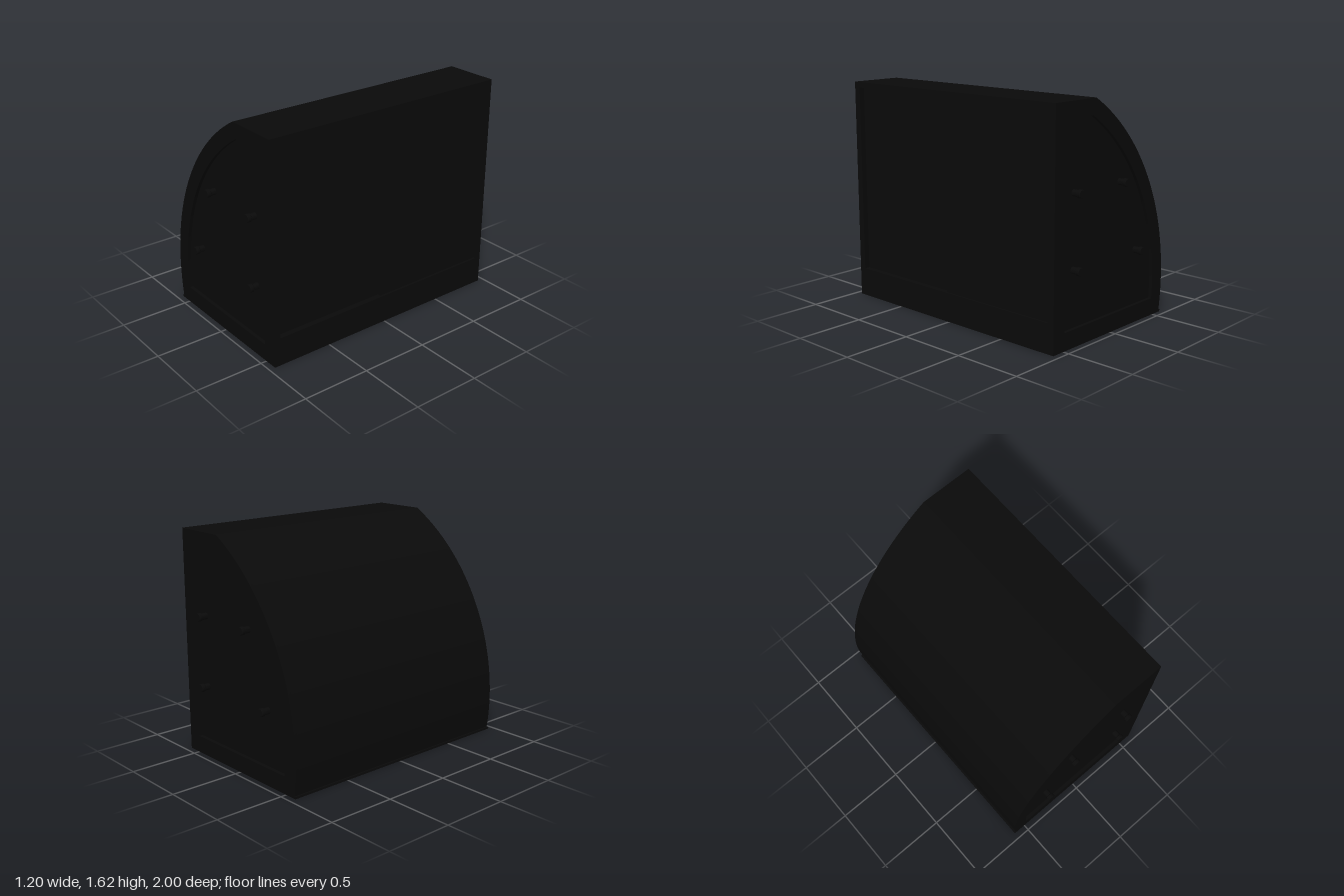
import * as THREE from 'three';
import { toCreasedNormals } from 'three/addons/utils/BufferGeometryUtils.js';

const BASE = 0.015, TOP = 1.62, FLAT = 0.6, END = 0.955, CORE = 0.93;
const CX = 0.973, CY = 0.25, R = 1.573; // circle of the curved wall

// Quarter-round outline: flat side at x = right, flat top, curved wall of given radius
function outline(path, right, bottom, top, radius) {
  const a0 = Math.PI + Math.asin((CY - bottom) / radius);
  const a1 = Math.PI - Math.asin((top - CY) / radius);
  const n = 40;
  path.moveTo(right, bottom);
  path.lineTo(right, top);
  for (let i = 0; i <= n; i++) {
    const a = a1 + (a0 - a1) * i / n;
    path.lineTo(CX + radius * Math.cos(a), CY + radius * Math.sin(a));
  }
  path.closePath();
  return path;
}

export function createModel() {
  const group = new THREE.Group();
  const black = new THREE.MeshStandardMaterial({ color: 0x0a0a0a });

  function add(name, geometry, x = 0, y = 0, z = 0) {
    const mesh = new THREE.Mesh(geometry, black);
    mesh.name = name;
    mesh.position.set(x, y, z);
    group.add(mesh);
    return mesh;
  }
  // Box given by its minimum and maximum corners
  function box(name, x0, x1, y0, y1, z0, z1) {
    add(name, new THREE.BoxGeometry(x1 - x0, y1 - y0, z1 - z0),
      (x0 + x1) / 2, (y0 + y1) / 2, (z0 + z1) / 2);
  }
  function extrude(shape, depth) {
    const g = new THREE.ExtrudeGeometry(shape, { depth, bevelEnabled: false });
    return toCreasedNormals(g, 0.4);
  }

  // Main cabinet body
  const core = outline(new THREE.Shape(), 0.55, BASE, TOP, R);
  add('body', extrude(core, 2 * CORE), 0, 0, -CORE);

  // Base plate
  box('basePlate', -0.595, FLAT, 0, BASE, -END, END);

  // Raised rims around the two end panels
  const rim = outline(new THREE.Shape(), FLAT, BASE, TOP, R);
  rim.holes.push(outline(new THREE.Path(), 0.49, 0.125, 1.51, R - 0.11));
  const rimGeometry = extrude(rim, END - CORE);
  add('frontRim', rimGeometry, 0, 0, CORE);
  add('backRim', rimGeometry, 0, 0, -END);

  // Frame of the door opening
  box('sill', 0.55, FLAT, BASE, 0.21, -CORE, CORE);
  box('header', 0.55, FLAT, 1.58, TOP, -CORE, CORE);
  for (const s of [-1, 1]) {
    const zs = [s * 0.905, s * CORE].sort((a, b) => a - b);
    box('jamb', 0.55, FLAT, 0.21, 1.58, zs[0], zs[1]);
  }

  // Overlapping sliding doors
  box('outerDoor', 0.55, 0.585, 0.21, 1.58, -0.905, 0.03);
  box('innerDoor', 0.54, 0.56, 0.21, 1.58, 0.03, 0.905);

  // Pegs on both ends: a neck with a wider head
  const profile = [[0, 0], [0.023, 0], [0.023, 0.04], [0.029, 0.045], [0.029, 0.065], [0.025, 0.07], [0, 0.07]];
  const peg = toCreasedNormals(
    new THREE.LatheGeometry(profile.map(p => new THREE.Vector2(...p)), 16), 0.5);
  for (const s of [-1, 1]) {
    for (const [x, y] of [[-0.1, 1.03], [0.385, 1.03], [-0.295, 0.52], [0.385, 0.52]]) {
      add('peg', peg, x, y, s * CORE).rotation.x = s * Math.PI / 2;
    }
  }
  return group;
}
